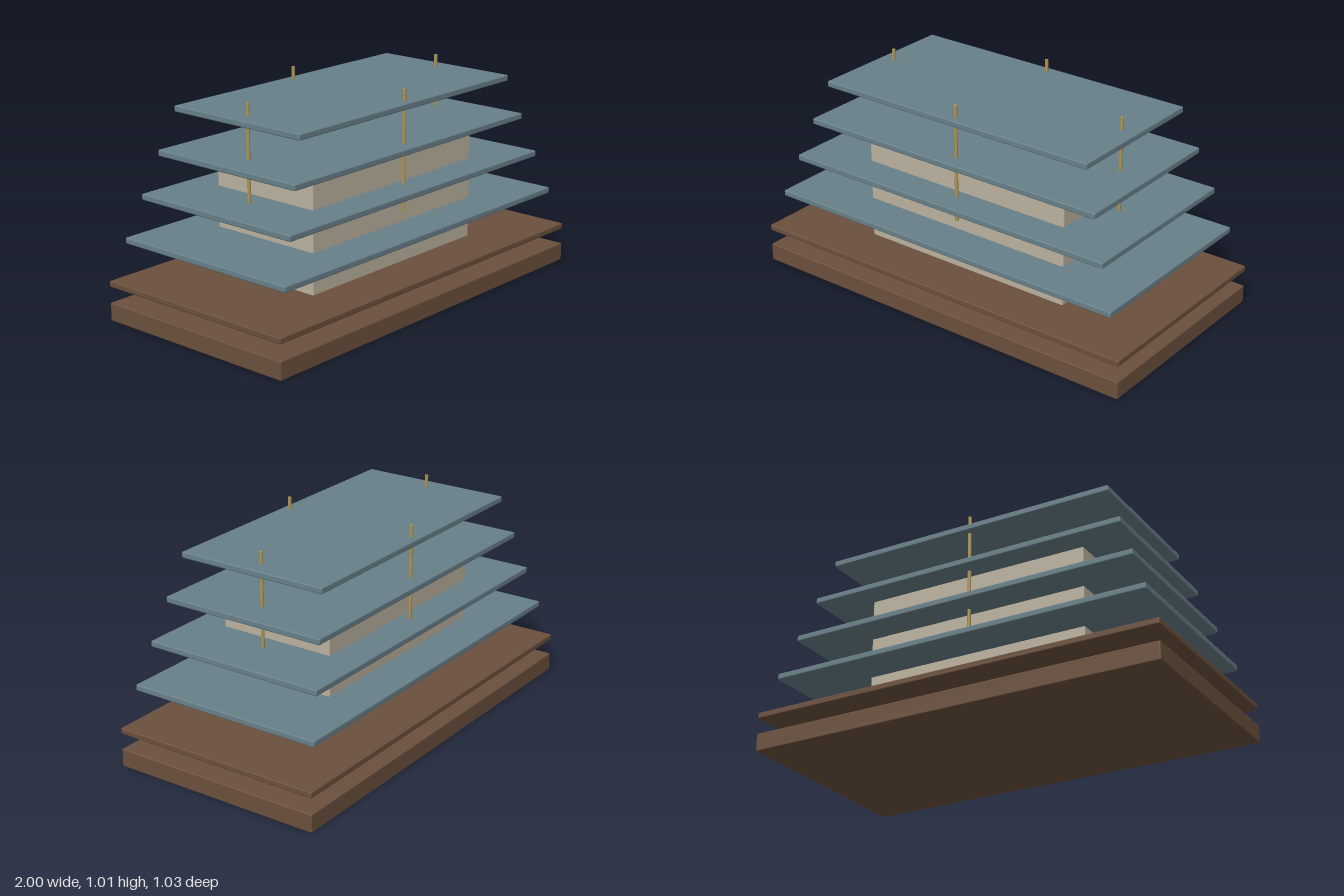
import * as THREE from 'three';
import { RoundedBoxGeometry } from 'three/addons/geometries/RoundedBoxGeometry.js';

const mat = (name, hex) => {
  const m = new THREE.MeshStandardMaterial({ color: hex });
  m.name = name;
  return m;
};

export function createModel() {
  const brown = mat('brown', 0x6b503d);
  const slate = mat('slate blue', 0x688089);
  const stone = mat('warm stone', 0xbbb2a0);
  const brass = mat('brass', 0xae9555);

  const group = new THREE.Group();
  group.name = 'tieredPavilion';

  // Softly rounded block, placed by its bottom and top heights
  const block = (name, halfX, halfZ, y0, y1, material) => {
    const geo = new RoundedBoxGeometry(halfX * 2, y1 - y0, halfZ * 2, 2, 0.006);
    const mesh = new THREE.Mesh(geo, material);
    mesh.name = name;
    mesh.position.y = (y0 + y1) / 2;
    group.add(mesh);
  };

  // Plinth, ground floor plate and central core
  block('plinth', 1, 0.516, 0, 0.086, brown);
  block('floorPlate', 1, 0.516, 0.159, 0.188, brown);
  block('core', 0.548, 0.284, 0.1, 0.742, stone);

  // Upper plates shrink evenly as they rise
  for (let i = 1; i <= 4; i++) {
    const y = 0.1735 + i * 0.1913;
    block(`upperPlate${i}`, 1 - i * 0.0705, 0.516 - i * 0.0363, y - 0.0145, y + 0.0145, slate);
  }

  // Slim rods, one in the middle of each side
  const rodGeo = new THREE.CylinderGeometry(0.008, 0.008, 0.557, 12);
  for (const [x, z] of [[0.64, 0], [-0.64, 0], [0, 0.332], [0, -0.332]]) {
    const rod = new THREE.Mesh(rodGeo, brass);
    rod.name = 'rod';
    rod.position.set(x, 0.7315, z);
    group.add(rod);
  }
  return group;
}
